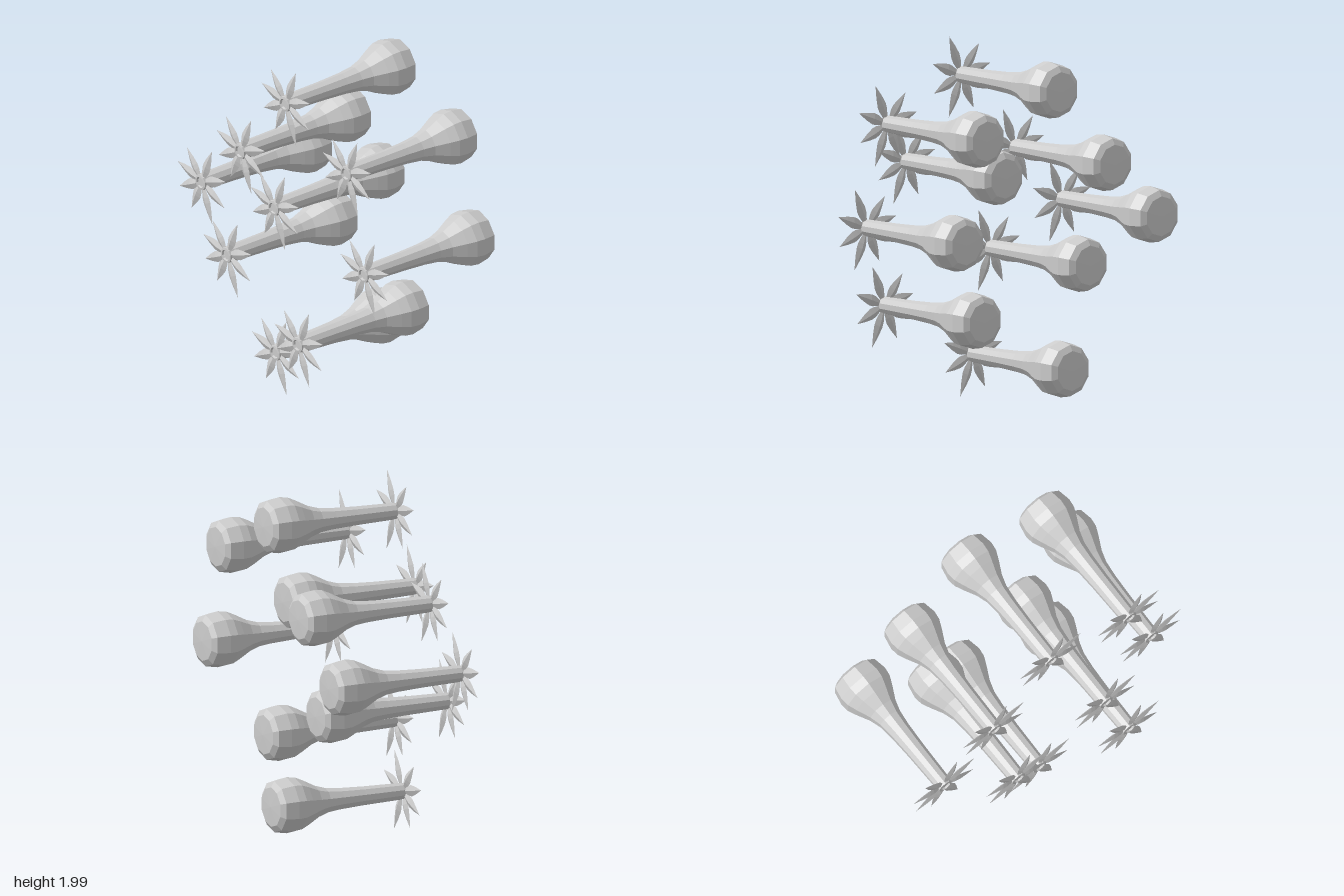
import * as THREE from 'three';

const material = new THREE.MeshStandardMaterial({ color: 0xcccccc, flatShading: true });

// Lathe around y from [radius, height] pairs
function lathe(profile, sides) {
  return new THREE.LatheGeometry(profile.map(([r, h]) => new THREE.Vector2(r, h)), sides);
}

// Bulb and trumpet-like stem, running along z, with a small rimmed mouth at z = 0
const stemGeometry = lathe([
  [0, -0.82], [0.11, -0.815], [0.142, -0.795], [0.156, -0.72], [0.15, -0.67], [0.128, -0.62],
  [0.09, -0.545], [0.07, -0.48], [0.06, -0.39], [0.053, -0.25], [0.047, -0.01],
  [0.044, 0.012], [0.032, 0.014], [0.028, 0.003], [0, 0.003],
], 10).rotateX(Math.PI / 2);

// Flat four-sided pointed petal along y
const petalGeometry = lathe([
  [0, 0.02], [0.014, 0.035], [0.029, 0.085], [0.031, 0.115], [0.021, 0.165], [0.009, 0.205], [0, 1],
].map(([r, h]) => [r, Math.min(h, 0.235)]), 4).scale(1, 1, 0.42);

// Petal directions in degrees, with length factors
const petals = [
  [68, 1], [21, 0.95], [-23, 0.92], [-68, 1.04],
  [-115, 0.9], [-153, 0.92], [168, 0.92], [129, 0.88],
];

function createFloret() {
  const floret = new THREE.Group();
  floret.name = 'floret';
  const stem = new THREE.Mesh(stemGeometry, material);
  stem.name = 'bulbAndStem';
  floret.add(stem);
  const star = new THREE.Group();
  star.name = 'petalStar';
  for (const [angle, length] of petals) {
    const petal = new THREE.Mesh(petalGeometry, material);
    petal.name = 'petal';
    petal.rotation.z = THREE.MathUtils.degToRad(angle - 90);
    petal.scale.y = length;
    star.add(petal);
  }
  floret.add(star);
  return floret;
}

export function createModel() {
  const model = new THREE.Group();
  model.name = 'floretCluster';
  // Mouth centre of each floret
  const positions = [
    [0.02, 1.78, 0.286], [0.555, 1.565, 0.286], [-0.37, 1.34, 0.286],
    [0.215, 1.297, 0.518], [-0.71, 1.02, 0.286], [0.705, 1.01, 0.286],
    [-0.315, 0.775, 0.424], [0.393, 0.528, 0.493], [-0.063, 0.238, 0.286],
  ];
  for (const p of positions) {
    const floret = createFloret();
    floret.position.set(...p);
    model.add(floret);
  }
  return model;
}
